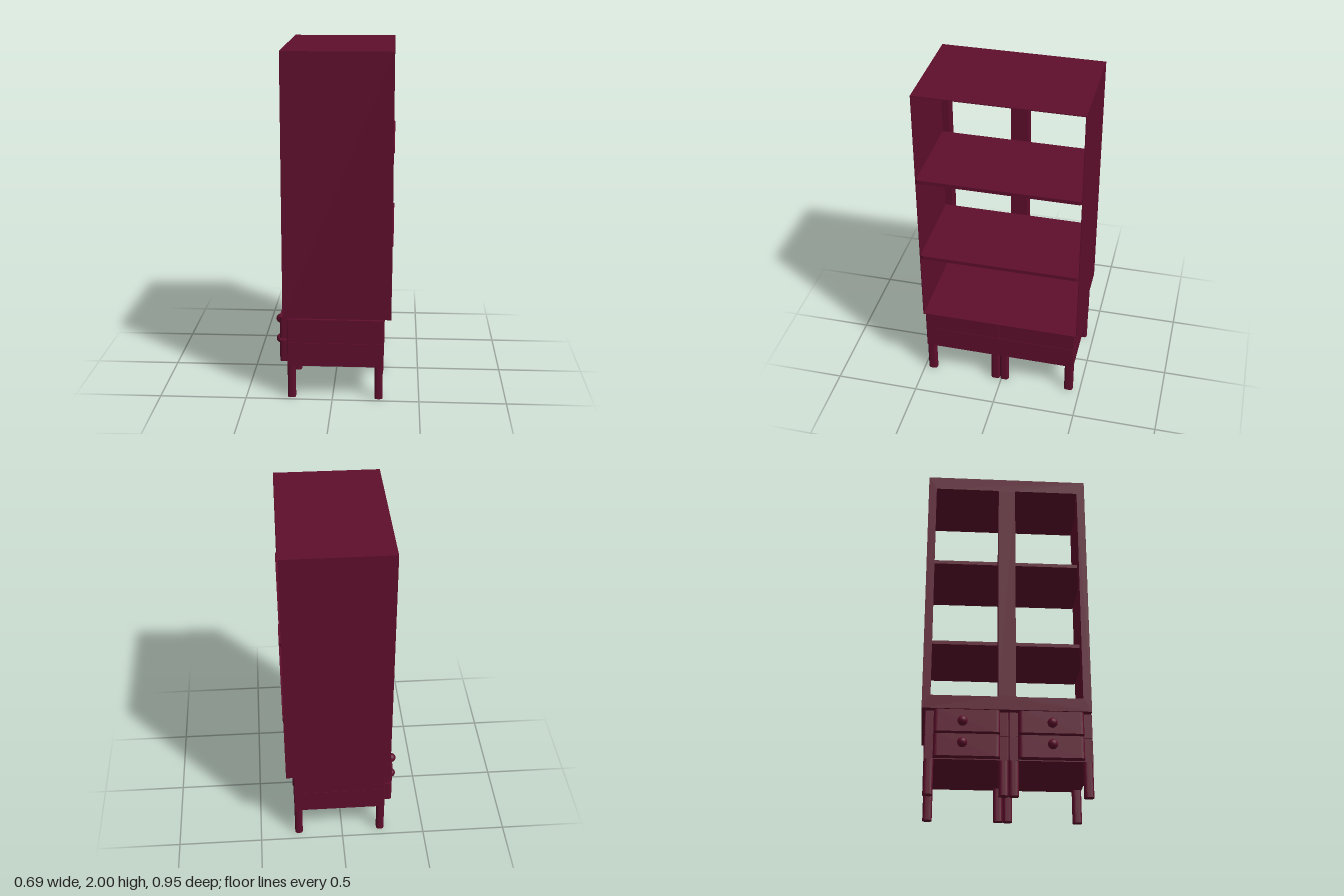
import * as THREE from 'three';

const wine = new THREE.MeshStandardMaterial({ color: 0x5e0e2c });
wine.name = 'wine lacquer';

// Rectangle outline with separate corner radii for its low-x (ra) and high-x (rb) ends
function outline(x0, x1, y0, y1, ra, rb = ra, Type = THREE.Shape) {
  const s = new Type();
  s.moveTo(x0 + ra, y0);
  s.lineTo(x1 - rb, y0);
  if (rb) s.quadraticCurveTo(x1, y0, x1, y0 + rb);
  s.lineTo(x1, y1 - rb);
  if (rb) s.quadraticCurveTo(x1, y1, x1 - rb, y1);
  s.lineTo(x0 + ra, y1);
  if (ra) s.quadraticCurveTo(x0, y1, x0, y1 - ra);
  s.lineTo(x0, y0 + ra);
  if (ra) s.quadraticCurveTo(x0, y0, x0 + ra, y0);
  return s;
}

export function createModel() {
  const model = new THREE.Group();
  model.name = 'displayCabinet';

  const add = (parent, name, geometry) => {
    const mesh = new THREE.Mesh(geometry, wine);
    mesh.name = name;
    parent.add(mesh);
    return mesh;
  };
  // Axis-aligned box given by its limits
  const box = (parent, name, x0, x1, y0, y1, z0, z1) =>
    add(parent, name, new THREE.BoxGeometry(x1 - x0, y1 - y0, z1 - z0))
      .position.set((x0 + x1) / 2, (y0 + y1) / 2, (z0 + z1) / 2);
  // Upright prism from a rounded plan
  const prism = (parent, name, x0, x1, y0, y1, z0, z1, ra, rb) => {
    const g = new THREE.ExtrudeGeometry(outline(x0, x1, -z1, -z0, ra, rb),
      { depth: y1 - y0, bevelEnabled: false, curveSegments: 6 });
    g.rotateX(-Math.PI / 2);
    g.translate(0, y0, 0);
    return add(parent, name, g);
  };

  // Upper case: thin shell, open on +x
  const upper = new THREE.Group();
  upper.name = 'upperCase';
  model.add(upper);
  const t = 0.005, W = 0.475, X0 = -0.285, X1 = 0.335, Y0 = 0.485, Y1 = 2;
  box(upper, 'topPanel', X0, X1, Y1 - t, Y1, -W, W);
  box(upper, 'floorPanel', X0, X1, Y0, Y0 + t, -W, W);
  box(upper, 'sidePanel', X0, X1, Y0, Y1, W - t, W);
  box(upper, 'sidePanel', X0, X1, Y0, Y1, -W, -W + t);

  // Thick door frame with two window openings on -x
  const depth = 0.085;
  const frame = outline(-W, W, Y0, Y1, 0);
  for (const [a, b] of [[-0.428, -0.05], [0.05, 0.428]])
    frame.holes.push(outline(a, b, 0.563, 1.92, 0.008, 0.008, THREE.Path));
  const frameGeo = new THREE.ExtrudeGeometry(frame, { depth, bevelEnabled: false, curveSegments: 4 });
  frameGeo.rotateY(-Math.PI / 2);
  add(upper, 'windowFrame', frameGeo).position.x = X0 + depth;

  // Shelves, slightly proud of the open side with rounded corners
  for (const y of [0.927, 1.458])
    prism(upper, 'shelf', X0 + depth, 0.342, y - 0.011, y + 0.011, -W, W, 0, 0.025);

  // Two base units, each with stacked boxes, legs, drawers and knobs
  for (const c of [0.244, -0.223]) {
    const base = new THREE.Group();
    base.name = 'baseUnit';
    model.add(base);
    const h = 0.233, b0 = -0.26, b1 = 0.29;
    for (const [y0, y1, knobY] of [[0.197, 0.336, 0.277], [0.338, 0.478, 0.402]]) {
      prism(base, 'drawerBox', b0, b1, y0, y1, c - h, c + h, 0.006);
      prism(base, 'drawerFront', -0.308, b0 + 0.002, y0 + 0.006, y1 - 0.006, c - 0.183, c + 0.183, 0.022, 0);
      const knob = add(base, 'knob', new THREE.SphereGeometry(0.028, 20, 14));
      knob.position.set(-0.317, knobY, Math.sign(c) * 0.248);
    }
    for (const x of [b0, b1 - 0.047])
      for (const z of [c - h, c + h - 0.055])
        prism(base, 'leg', x, x + 0.047, 0, 0.2, z, z + 0.055, 0.02);
  }
  return model;
}
